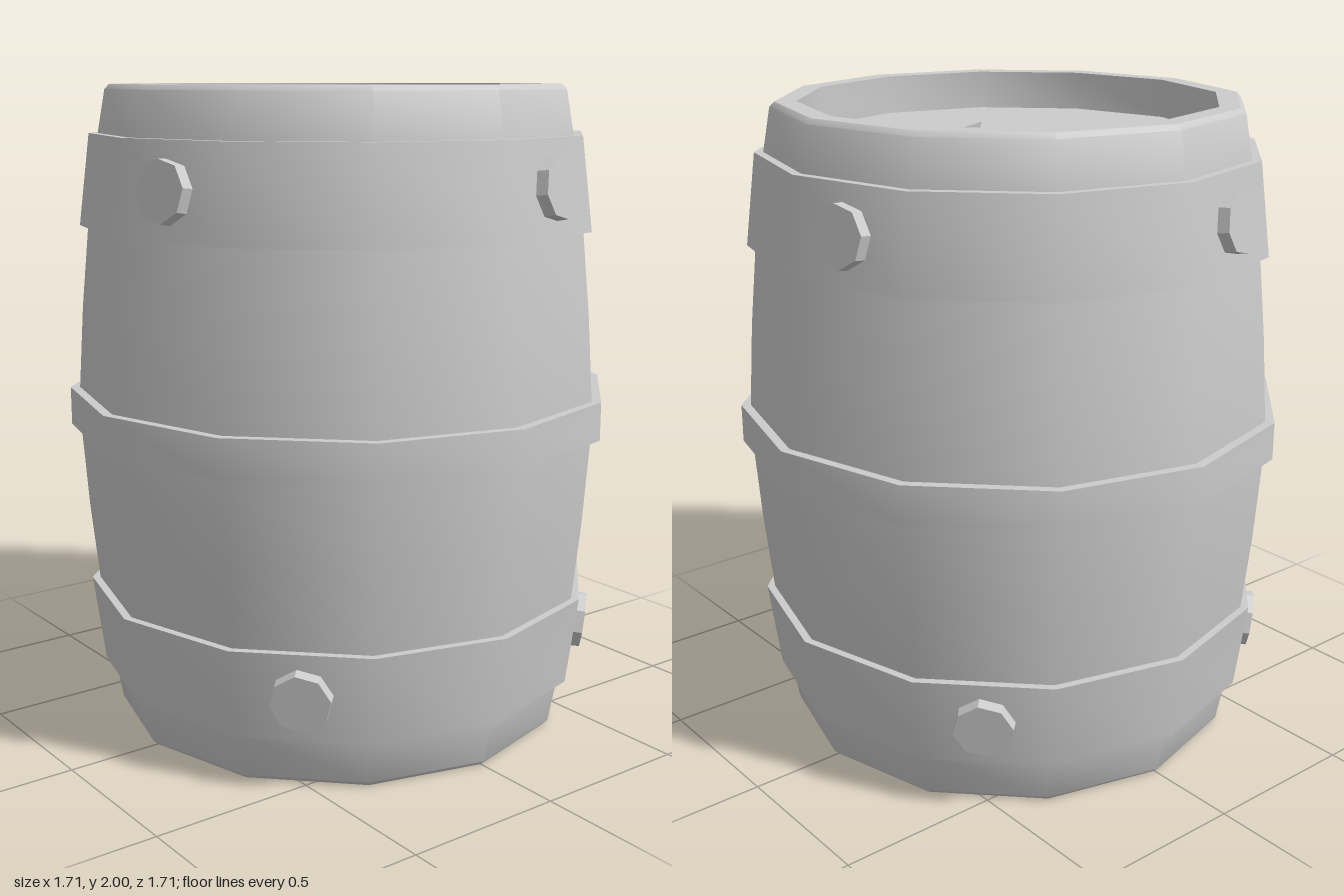
import * as THREE from 'three';
import { toCreasedNormals } from 'three/addons/utils/BufferGeometryUtils.js';

const SIDES = 12;
const CREASE = 0.6; // smooth around the twelve sides, sharp at the rims

export function createModel() {
  const barrel = new THREE.Group();
  barrel.name = 'barrel';
  const material = new THREE.MeshStandardMaterial({ color: 0xcccccc });

  const add = (name, geometry, parent = barrel) => {
    const mesh = new THREE.Mesh(geometry, material);
    mesh.name = name;
    parent.add(mesh);
    return mesh;
  };
  const lathe = (profile) => toCreasedNormals(
    new THREE.LatheGeometry(profile.map(([r, y]) => new THREE.Vector2(r, y)), SIDES), CREASE);

  // Body: bulging staves with a rim and a recessed head at both ends
  const lower = [
    [0, 0.12], [0.64, 0.12], [0.64, 0], [0.705, 0], [0.72, 0.015],
    [0.746, 0.155], [0.783, 0.43], [0.808, 0.68], [0.826, 0.94],
  ];
  const upper = lower.map(([r, y]) => [r, 2 - y]).reverse();
  add('body', lathe([...lower, ...upper]));

  // Hoops: closed bands given by their lower and upper edge
  const hoop = (name, y0, r0, y1, r1) => add(name, lathe([
    [r0 - 0.06, y0], [r0, y0], [r1, y1], [r1 - 0.06, y1], [r0 - 0.06, y0],
  ]));
  hoop('lowerHoop', 0.155, 0.772, 0.432, 0.808);
  hoop('middleHoop', 0.945, 0.855, 1.063, 0.855);
  hoop('upperHoop', 1.573, 0.808, 1.853, 0.772);

  // Bolts: four octagonal heads square to the sloping face of each end hoop
  const boltGeometry = toCreasedNormals(
    new THREE.CylinderGeometry(0.09, 0.095, 0.08, 8).rotateY(0.15).rotateX(Math.PI / 2), CREASE);
  const bolts = (name, y, startAngle, tilt) => {
    for (let i = 0; i < 4; i++) {
      const pivot = new THREE.Group();
      pivot.name = name + (i + 1);
      pivot.rotation.y = startAngle + i * Math.PI / 2;
      barrel.add(pivot);
      const bolt = add('boltHead', boltGeometry, pivot);
      bolt.position.set(0, y, 0.76);
      bolt.rotation.x = tilt;
    }
  };
  bolts('upperBolt', 1.71, Math.PI / 12, -0.125);
  bolts('lowerBolt', 0.295, Math.PI / 4, 0.125);

  // Bung: tapered octagonal plug in the top head
  const bung = add('bung', toCreasedNormals(
    new THREE.CylinderGeometry(0.158, 0.14, 0.12, 8), CREASE));
  bung.position.set(-0.135, 1.92, -0.42);
  bung.rotation.y = 0.1;

  return barrel;
}
